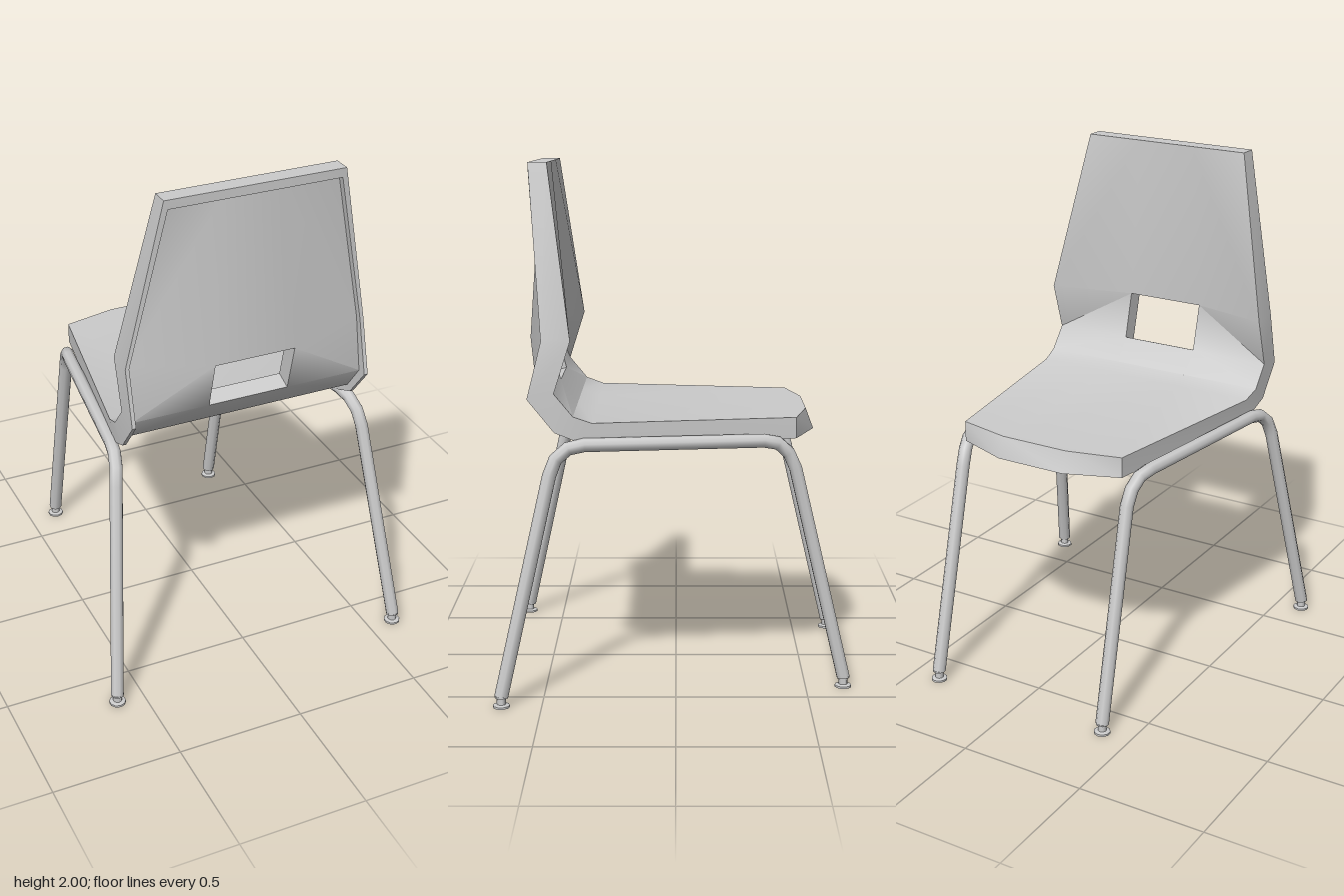
import * as THREE from 'three';
import { toCreasedNormals } from 'three/addons/utils/BufferGeometryUtils.js';

const material = new THREE.MeshStandardMaterial({ color: 0xcccccc });

// Cross-sections of the shell, from the top of the back to the front of the seat.
// w, c: half widths at the edge and at the middle panel; the rest are [z, y]:
// fe, fc: sitting side at edge and middle; re, rc: rim; be, bc: recessed rear side.
const ROWS = [
  { w: 0.35, c: 0.12, fe: [0.475, 2], fc: [0.475, 2], re: [0.545, 2], rc: [0.545, 2], be: [0.517, 1.965], bc: [0.517, 1.965] },
  { w: 0.482, c: 0.16, fe: [0.388, 1.355], fc: [0.49, 1.345], re: [0.495, 1.355], be: [0.47, 1.35], bc: [0.56, 1.33] },
  { w: 0.482, c: 0.16, fe: [0.45, 1.16], fc: [0.445, 1.165], re: [0.55, 1.14], be: [0.51, 1.14], bc: [0.51, 1.14] },
  { w: 0.482, c: 0.16, fe: [0.38, 1.075], fc: [0.38, 1.075], re: [0.45, 1.015], be: [0.43, 1.035], bc: [0.43, 1.035] },
  { w: 0.475, c: 0.16, fe: [0.31, 1.05], fc: [0.31, 1.05], re: [0.34, 0.97], be: [0.34, 1], bc: [0.34, 1] },
  { w: 0.35, c: 0.14, fe: [-0.455, 1.05], fc: [-0.505, 1.05], re: [-0.455, 0.97], rc: [-0.535, 0.97], be: [-0.43, 1], bc: [-0.485, 1] },
];

function shellGeometry() {
  const last = ROWS.length - 1;
  const INSET = 0.015;
  // four points across each row
  const layer = (edge, middle, inset, shift) => ROWS.map((r, i) => {
    const e = r[edge], m = r[middle] ?? e, w = r.w - inset;
    const dy = shift && i === 0 ? -0.035 : 0;
    const dz = shift && i === last ? 0.02 : 0;
    return [[-w, e], [-r.c, m], [r.c, m], [w, e]].map(([x, [z, y]]) => [x, y + dy, z + dz]);
  });
  const front = layer('fe', 'fc', 0, false);
  const rim = layer('re', 'rc', 0, false);
  const rimInner = layer('re', 'rc', INSET, true);
  const back = layer('be', 'bc', INSET, false);

  const pos = [];
  const quad = (a, b, c, d) => pos.push(...a, ...b, ...c, ...a, ...c, ...d);

  // front and rear skins, leaving the hand hole open
  for (let i = 0; i < last; i++) {
    for (let j = 0; j < 3; j++) {
      if (i === 1 && j === 1) continue;
      const f = [front[i][j], front[i][j + 1], front[i + 1][j + 1], front[i + 1][j]];
      const b = [back[i][j], back[i + 1][j], back[i + 1][j + 1], back[i][j + 1]];
      if (j === 0) {
        quad(f[1], f[2], f[3], f[0]);
        quad(b[1], b[2], b[3], b[0]);
      } else {
        quad(...f);
        quad(...b);
      }
    }
  }

  // strips joining two layers along a closed loop of grid points
  const join = (A, B, loop) => loop.forEach(([i, j], k) => {
    const [m, n] = loop[(k + 1) % loop.length];
    quad(A[i][j], B[i][j], B[m][n], A[m][n]);
  });
  const outline = [];
  for (let j = 0; j < 3; j++) outline.push([0, j]);
  for (let i = 0; i < last; i++) outline.push([i, 3]);
  for (let j = 3; j > 0; j--) outline.push([last, j]);
  for (let i = last; i > 0; i--) outline.push([i, 0]);
  join(front, rim, outline);
  join(rim, rimInner, outline);
  join(rimInner, back, outline);
  join(front, back, [[1, 1], [2, 1], [2, 2], [1, 2]]);

  const geo = new THREE.BufferGeometry();
  geo.setAttribute('position', new THREE.Float32BufferAttribute(pos, 3));
  return toCreasedNormals(geo, 0.6);
}

// Polyline whose corners fall exactly on the tube's rings
class BentPath extends THREE.Curve {
  constructor(points) {
    super();
    this.points = points;
  }
  getPoint(t) {
    const s = t * (this.points.length - 1);
    const i = Math.min(Math.floor(s + 1e-6), this.points.length - 2);
    return this.points[i].clone().lerp(this.points[i + 1], s - i);
  }
  getPointAt(u) {
    return this.getPoint(u);
  }
  getTangentAt(u) {
    const p = this.points, n = p.length - 1, i = Math.round(u * n);
    const dir = (a, b) => p[b].clone().sub(p[a]).normalize();
    if (i === 0) return dir(0, 1);
    if (i === n) return dir(n - 1, n);
    return dir(i - 1, i).add(dir(i, i + 1)).normalize();
  }
}

// Rear foot, rear bend, seat rail, front bend, front foot
const LEG_PATH = [
  [0.607, 0.04, 0.65], [0.518, 0.86, 0.468], [0.507, 0.92, 0.445], [0.495, 0.958, 0.4], [0.485, 0.97, 0.34],
  [0.398, 0.97, -0.33], [0.385, 0.958, -0.385], [0.375, 0.92, -0.425], [0.37, 0.86, -0.452], [0.38, 0.04, -0.645],
];

function legFrame(side) {
  const group = new THREE.Group();
  group.name = side > 0 ? 'leftLegFrame' : 'rightLegFrame';
  const points = LEG_PATH.map(([x, y, z]) => new THREE.Vector3(side * x, y, z));
  const tube = new THREE.Mesh(
    new THREE.TubeGeometry(new BentPath(points), points.length - 1, 0.026, 8), material);
  tube.name = 'legTube';
  group.add(tube);

  // stepped glide under each leg
  const profile = [[0, 0], [0.032, 0], [0.032, 0.008], [0.017, 0.012], [0.017, 0.038], [0.025, 0.038], [0.025, 0.044], [0, 0.044]]
    .map(([r, y]) => new THREE.Vector2(r, y));
  for (const end of [points[0], points[points.length - 1]]) {
    const foot = new THREE.Mesh(toCreasedNormals(new THREE.LatheGeometry(profile, 10), 0.7), material);
    foot.name = 'foot';
    foot.position.set(end.x, 0, end.z);
    group.add(foot);
  }
  return group;
}

export function createModel() {
  const chair = new THREE.Group();
  chair.name = 'chair';
  const shell = new THREE.Mesh(shellGeometry(), material);
  shell.name = 'seatShell';
  chair.add(shell, legFrame(1), legFrame(-1));
  return chair;
}
